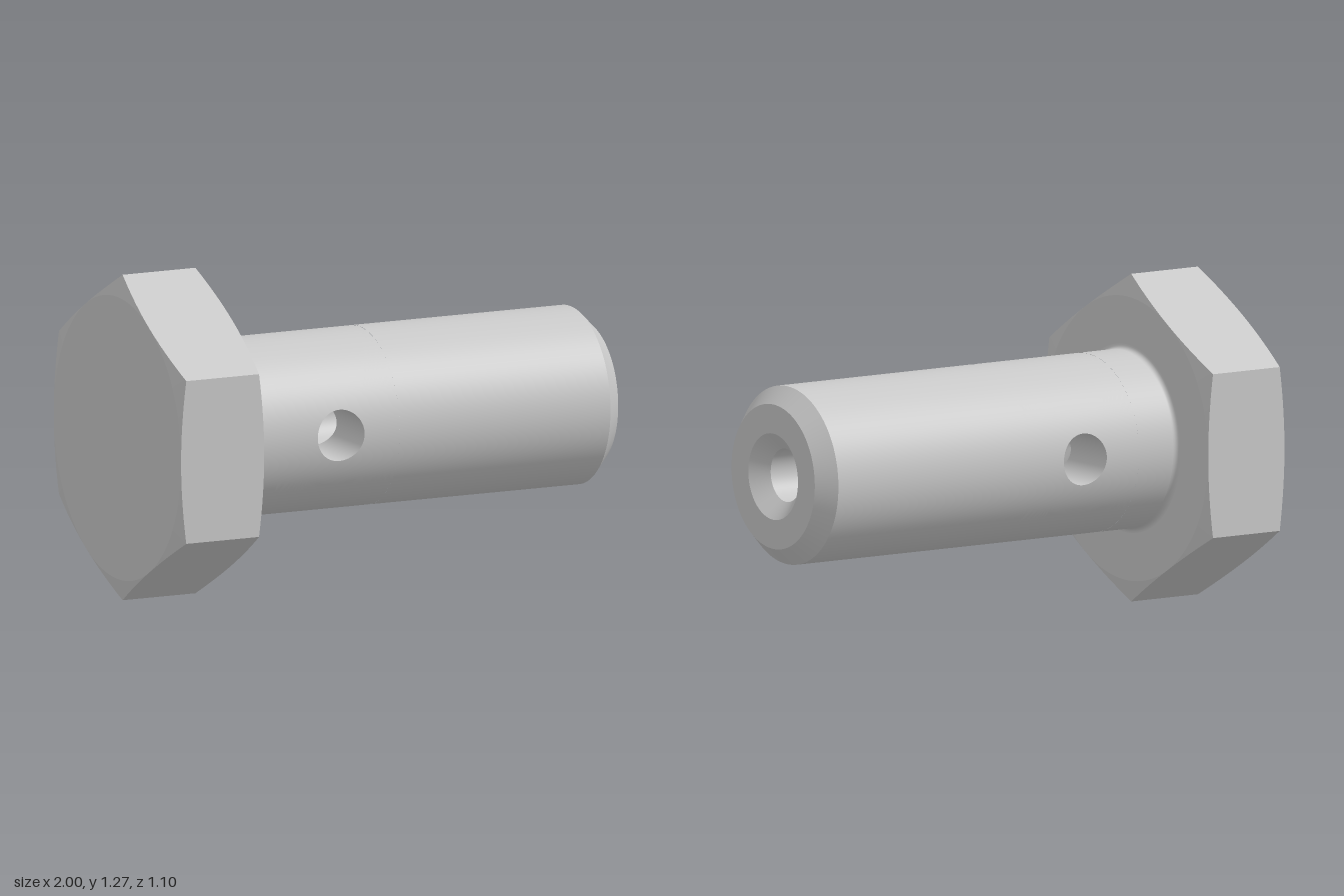
import * as THREE from 'three';
import { mergeGeometries } from 'three/addons/utils/BufferGeometryUtils.js';

const AXIS_Y = 0.635;              // height of the bolt's axis, which runs along x
const HEAD = { x0: -1, x1: -0.645, apothem: 0.55, slope: 0.26 };
const SHANK_R = 0.345, BORE_R = 0.103;
const HOLE_R = 0.1, HOLE_X = -0.215; // cross hole through the shank, along z
const SHANK_W = 0.25, BORE_W = 0.13; // half lengths of the pierced sections

// Indexed grid; its front side faces d/du x d/dv
function grid(nu, nv, fn) {
  const pos = [], idx = [];
  for (let i = 0; i <= nu; i++)
    for (let j = 0; j <= nv; j++) pos.push(...fn(i / nu, j / nv));
  for (let i = 0; i < nu; i++)
    for (let j = 0; j < nv; j++) {
      const a = i * (nv + 1) + j, b = a + nv + 1;
      idx.push(a, b, a + 1, b, b + 1, a + 1);
    }
  const g = new THREE.BufferGeometry();
  g.setAttribute('position', new THREE.Float32BufferAttribute(pos, 3));
  g.setIndex(idx);
  g.computeVertexNormals();
  return g;
}

// Smooth surface of revolution about x from [x, radius] points
function revolve(...pts) {
  const g = new THREE.LatheGeometry(pts.map(([x, r]) => new THREE.Vector2(r, x)), 96);
  g.deleteAttribute('uv');
  return g.rotateZ(-Math.PI / 2);
}

// A revolved profile with a sharp edge at every point
function revolveSharp(...pts) {
  return pts.slice(1).map((p, i) => revolve(pts[i], p));
}

// Half of a cylinder wall (side = +1 or -1 in z) with the cross hole cut out
function piercedHalf(radius, w, side, facing) {
  const g = grid(96, 16, (u, v) => {
    const t = side * facing > 0 ? 1 - v : v;
    const c = Math.cos(u * 2 * Math.PI), s = Math.sin(u * 2 * Math.PI);
    const m = Math.max(Math.abs(c), Math.abs(s));
    const x = THREE.MathUtils.lerp(HOLE_R * c, w * c / m, t);
    const phi = THREE.MathUtils.lerp(Math.asin(HOLE_R * s / radius), Math.PI / 2 * s / m, t);
    return [HOLE_X + x, radius * Math.sin(phi), side * radius * Math.cos(phi)];
  });
  const p = g.attributes.position, n = g.attributes.normal;
  for (let i = 0; i < p.count; i++)
    n.setXYZ(i, 0, facing * p.getY(i) / radius, facing * p.getZ(i) / radius);
  return g;
}

// Wall of the cross hole between the shank's surface and the bore
function crossHoleWall(side) {
  return grid(96, 1, (u, v) => {
    const a = u * 2 * Math.PI * side, y = HOLE_R * Math.sin(a);
    const r = v ? BORE_R : SHANK_R;
    return [HOLE_X + HOLE_R * Math.cos(a), y, side * Math.sqrt(r * r - y * y)];
  });
}

// Hexagonal head whose corners are cut by a shallow cone at both ends
function headSides() {
  const { x0, x1, apothem, slope } = HEAD, parts = [];
  for (let k = 0; k < 6; k++) {
    const point = (u, row) => {
      const d = (u - 0.5) * Math.PI / 3, a = d + Math.PI / 6 + k * Math.PI / 3;
      const rim = apothem / Math.cos(d), cut = (rim - apothem) * slope;
      const r = row === 0 || row === 3 ? apothem : rim;
      const x = [x0, x0 + cut, x1 - cut, x1][row];
      return [x, r * Math.cos(a), r * Math.sin(a)];
    };
    for (let row = 0; row < 3; row++) parts.push(grid(16, 1, (u, v) => point(u, row + v)));
  }
  return parts;
}

export function createModel() {
  const group = new THREE.Group();
  const steel = new THREE.MeshStandardMaterial({ color: 0xc8c8c8 });
  steel.name = 'steel grey';
  const add = (name, parts) => {
    const mesh = new THREE.Mesh(mergeGeometries(parts), steel);
    mesh.name = name;
    mesh.position.y = AXIS_Y;
    group.add(mesh);
  };

  add('hexHead', [
    ...headSides(),
    revolve([HEAD.x0, 0], [HEAD.x0, HEAD.apothem]),
    revolve([HEAD.x1, HEAD.apothem], [HEAD.x1, 0.365]),
  ]);

  // Fillet under the head
  const fillet = [];
  for (let i = 0; i <= 6; i++) {
    const a = i / 6 * Math.PI / 2;
    fillet.push([-0.625 - 0.02 * Math.cos(a), 0.365 - 0.02 * Math.sin(a)]);
  }
  add('shank', [
    revolve(...fillet),
    revolve([-0.625, SHANK_R], [HOLE_X - SHANK_W, SHANK_R]),
    piercedHalf(SHANK_R, SHANK_W, 1, 1),
    piercedHalf(SHANK_R, SHANK_W, -1, 1),
    // Plain length, end chamfer and end face
    ...revolveSharp([HOLE_X + SHANK_W, SHANK_R], [0.935, SHANK_R], [1, 0.28], [1, 0.167]),
  ]);

  add('bore', [
    // Countersink and drilled bore
    ...revolveSharp([1, 0.167], [0.94, BORE_R], [HOLE_X + BORE_W, BORE_R]),
    piercedHalf(BORE_R, BORE_W, 1, -1),
    piercedHalf(BORE_R, BORE_W, -1, -1),
    // Conical drill tip
    revolve([HOLE_X - BORE_W, BORE_R], [HOLE_X - BORE_W - 0.06, 0]),
  ]);

  add('crossHole', [crossHoleWall(1), crossHoleWall(-1)]);
  return group;
}
